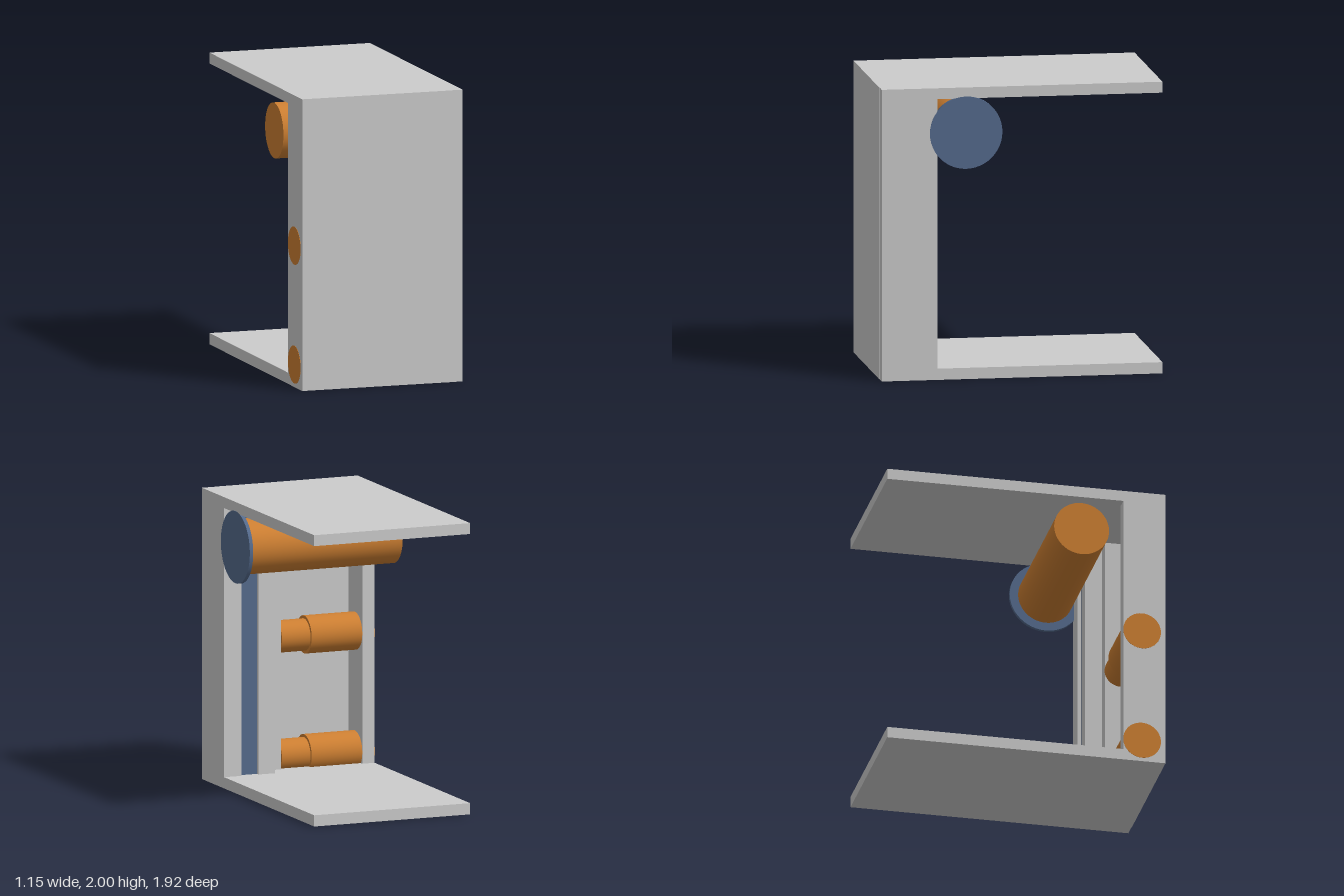
import * as THREE from 'three';

export function createModel() {
  const group = new THREE.Group();
  const grey = new THREE.MeshStandardMaterial({ color: 0xcccccc });
  const bronze = new THREE.MeshStandardMaterial({ color: 0xcd7f32 });
  const blue = new THREE.MeshStandardMaterial({ color: 0x556b8d });

  // Box given by its lower and upper limits on each axis
  function box(name, [x0, x1], [y0, y1], [z0, z1], material = grey) {
    const mesh = new THREE.Mesh(new THREE.BoxGeometry(x1 - x0, y1 - y0, z1 - z0), material);
    mesh.position.set((x0 + x1) / 2, (y0 + y1) / 2, (z0 + z1) / 2);
    mesh.name = name;
    group.add(mesh);
  }

  // Cylinder lying along x
  function roller(name, [x0, x1], y, z, radius, material = bronze) {
    const geometry = new THREE.CylinderGeometry(radius, radius, x1 - x0, 48);
    geometry.rotateZ(Math.PI / 2);
    const mesh = new THREE.Mesh(geometry, material);
    mesh.position.set((x0 + x1) / 2, y, z);
    mesh.name = name;
    group.add(mesh);
  }

  const W = 0.573, D = 0.962;
  const inner = [0.077, 1.925];

  // Top and bottom plates
  box('bottomPlate', [-W, W], [0, 0.077], [-D, D - 0.003]);
  box('topPlate', [-W, W], [1.925, 2], [-D, D - 0.003]);

  // Front panel and the wall beside it
  box('frontPanel', [-W, 0.48], [0, 2], [0.91, D]);
  box('sideWall', [0.445, W], inner, [0.578, D - 0.003]);

  // Stepped housing with a recessed coloured strip
  box('housingRail', [0.2, 0.32], inner, [0.578, 0.91]);
  box('colourStrip', [0.32, 0.445], inner, [0.605, 0.91], blue);
  box('housingStep', [0.105, 0.2], inner, [0.695, 0.91]);

  // Post on the far side
  box('sidePost', [-W, -0.482], inner, [0.67, 0.91]);

  // Large upper drum with its end disc
  roller('drum', [-W, 0.56], 1.69, 0.382, 0.19);
  roller('drumDisc', [0.55, W + 0.002], 1.69, 0.382, 0.248, blue);

  // Two stepped rollers between the housing and the post
  for (const y of [0.97, 0.155]) {
    roller('rollerNeck', [0.1, -0.11].reverse(), y, 0.8, 0.11);
    roller('rollerBody', [-W - 0.002, -0.11], y, 0.8, 0.13);
  }

  return group;
}
